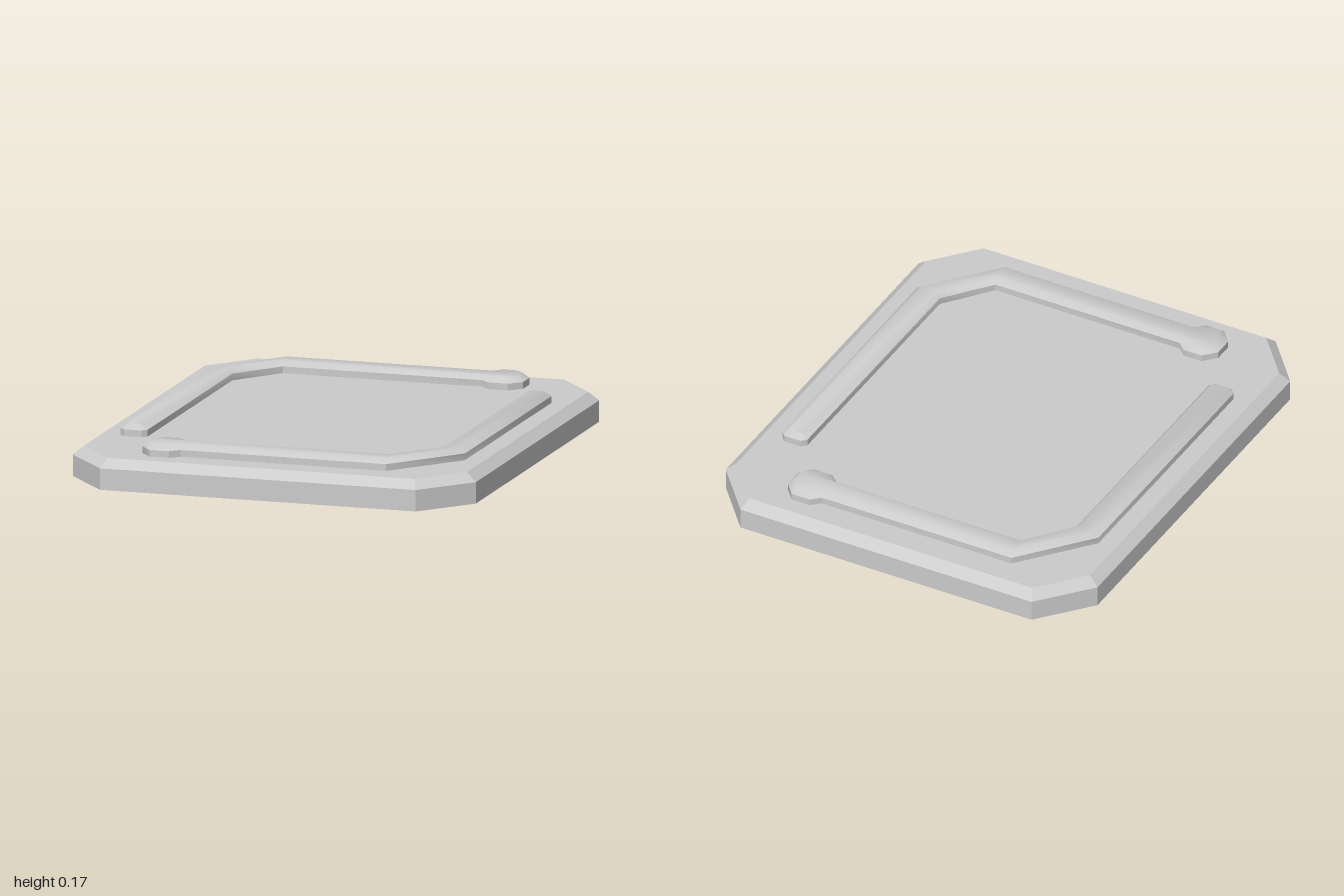
import * as THREE from 'three';
import { toCreasedNormals } from 'three/addons/utils/BufferGeometryUtils.js';

const material = new THREE.MeshStandardMaterial({ color: 0xcccccc, side: THREE.DoubleSide });

// Moves every side of a closed outline inward by d, with mitred corners.
function inset(points, d) {
  const n = points.length;
  const inward = points.map((p, i) => {
    const e = points[(i + 1) % n].clone().sub(p).normalize();
    return new THREE.Vector2(-e.y, e.x);
  });
  return points.map((p, i) => {
    const a = inward[(i + n - 1) % n], b = inward[i];
    return p.clone().addScaledVector(a.clone().add(b), d / (1 + a.dot(b)));
  });
}

// Open-bottomed slab: an (x, z) outline lofted through [inset, y] levels and capped.
function bevelledSlab(name, outline, levels, crease) {
  const points = outline.map(([x, z]) => new THREE.Vector2(x, z));
  if (THREE.ShapeUtils.isClockWise(points)) points.reverse();
  const n = points.length;
  const rings = levels.map(([d, y]) => inset(points, d).map(p => [p.x, y, p.y]));
  const positions = [];
  for (let k = 0; k + 1 < rings.length; k++) {
    const low = rings[k], high = rings[k + 1];
    for (let i = 0; i < n; i++) {
      const j = (i + 1) % n;
      positions.push(...low[i], ...high[j], ...low[j], ...low[i], ...high[i], ...high[j]);
    }
  }
  const top = rings[rings.length - 1];
  const flat = top.map(([x, , z]) => new THREE.Vector2(x, z));
  for (const [a, b, c] of THREE.ShapeUtils.triangulateShape(flat, [])) {
    positions.push(...top[a], ...top[c], ...top[b]);
  }
  const geometry = new THREE.BufferGeometry();
  geometry.setAttribute('position', new THREE.Float32BufferAttribute(positions, 3));
  const mesh = new THREE.Mesh(toCreasedNormals(geometry, crease), material);
  mesh.name = name;
  return mesh;
}

export function createModel() {
  const model = new THREE.Group();
  model.name = 'plate';

  // Hollow base plate with cut corners and a bevelled rim
  model.add(bevelledSlab('basePlate', [
    [0.65, 1], [0.83, 0.79], [0.83, -0.79], [0.65, -1],
    [-0.65, -1], [-0.83, -0.79], [-0.83, 0.79], [-0.65, 1],
  ], [[0, 0], [0, 0.086], [0.041, 0.121]], 0.1));

  // Raised rail: long arm, diagonal bend, short arm and eight-sided head
  const rail = [
    [-0.695, 0.557], [-0.715, 0.537], [-0.715, -0.57], [-0.48, -0.853],
    [0.367, -0.853], [0.403, -0.887], [0.483, -0.887], [0.53, -0.832],
    [0.53, -0.75], [0.483, -0.7], [0.403, -0.7], [0.367, -0.733],
    [-0.455, -0.733], [-0.603, -0.547], [-0.603, 0.537], [-0.623, 0.557],
  ];
  const levels = [[0, 0.121], [0, 0.148], [0.024, 0.167]];

  // The second rail is the first turned half a circle
  for (const [name, s] of [['rightRail', 1], ['leftRail', -1]]) {
    model.add(bevelledSlab(name, rail.map(([x, z]) => [s * x, s * z]), levels, 0.75));
  }
  return model;
}
